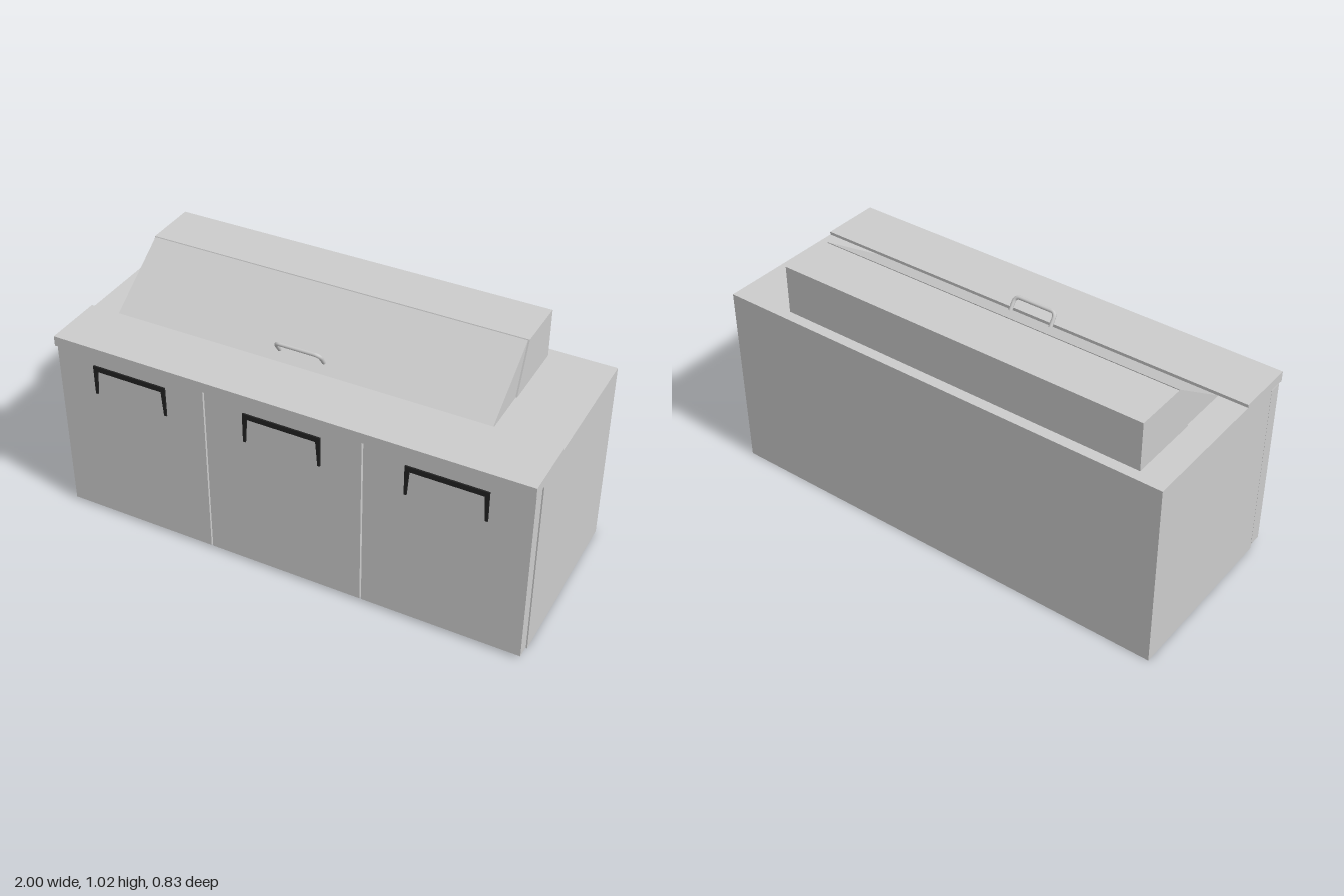
import * as THREE from 'three';

const steel = new THREE.MeshStandardMaterial({ color: 0xcccccc });
const black = new THREE.MeshStandardMaterial({ color: 0x222222 });

// Extrude a side profile of [z, y] points across x0..x1
function sideProfile(name, points, x0, x1) {
  const shape = new THREE.Shape(points.map(([z, y]) => new THREE.Vector2(-z, y)));
  const geometry = new THREE.ExtrudeGeometry(shape, { depth: x1 - x0, bevelEnabled: false });
  geometry.rotateY(Math.PI / 2).translate(x0, 0, 0);
  const mesh = new THREE.Mesh(geometry, steel);
  mesh.name = name;
  return mesh;
}

function box(name, x0, x1, y0, y1, z0, z1) {
  const mesh = new THREE.Mesh(new THREE.BoxGeometry(x1 - x0, y1 - y0, z1 - z0), steel);
  mesh.position.set((x0 + x1) / 2, (y0 + y1) / 2, (z0 + z1) / 2);
  mesh.name = name;
  return mesh;
}

// Flat bracket with two tapering legs
function doorHandle() {
  const half = [[0.163, 0.605], [0.163, 0.735]];
  const inner = [[0.145, 0.713], [0.153, 0.605]];
  const mirror = (pts) => pts.map(([x, y]) => [-x, y]).reverse();
  const outline = [...half, ...mirror(half), ...mirror(inner), ...inner];
  const shape = new THREE.Shape(outline.map(([x, y]) => new THREE.Vector2(x, y)));
  const geometry = new THREE.ExtrudeGeometry(shape, { depth: 0.008, bevelEnabled: false });
  const mesh = new THREE.Mesh(geometry, black);
  mesh.name = 'doorHandle';
  mesh.position.z = 0.402;
  return mesh;
}

// Round bar standing square to the sloping lid
function lidHandle() {
  const w = 0.095, h = 0.06, r = 0.024;
  const v = (x, y) => new THREE.Vector3(x, y, 0);
  const path = new THREE.CurvePath();
  path.add(new THREE.LineCurve3(v(-w, -0.005), v(-w, h - r)));
  path.add(new THREE.QuadraticBezierCurve3(v(-w, h - r), v(-w, h), v(r - w, h)));
  path.add(new THREE.LineCurve3(v(r - w, h), v(w - r, h)));
  path.add(new THREE.QuadraticBezierCurve3(v(w - r, h), v(w, h), v(w, h - r)));
  path.add(new THREE.LineCurve3(v(w, h - r), v(w, -0.005)));
  const mesh = new THREE.Mesh(new THREE.TubeGeometry(path, 80, 0.008, 12), steel);
  mesh.name = 'lidHandle';
  mesh.position.set(-0.072, 0.843, 0.112);
  mesh.rotation.x = Math.atan2(0.3, 0.205) - Math.PI / 2 + 2 * Math.atan2(0.205, 0.3);
  return mesh;
}

export function createModel() {
  const group = new THREE.Group();
  group.name = 'prepCounter';

  // Cabinet and front work board
  group.add(box('cabinet', -1, 1, 0, 0.81, -0.415, 0.34));
  group.add(box('workBoard', -1, 1, 0.78, 0.823, 0.16, 0.415));

  // Three doors with handles
  for (let i = -1; i <= 1; i++) {
    const door = new THREE.Group();
    door.name = 'door';
    door.position.x = i * 0.667;
    door.add(box('doorPanel', -0.33, 0.33, 0.013, 0.772, 0.348, 0.403), doorHandle());
    group.add(door);
  }

  // Rear hood and hinged wedge lid, parted by a thin slanting gap
  group.add(sideProfile('hood',
    [[-0.059, 0.81], [-0.143, 1.016], [-0.37, 1.016], [-0.37, 0.81]], -0.882, 0.734));
  group.add(sideProfile('lid',
    [[0.16, 0.81], [-0.138, 1.015], [-0.053, 0.81]], -0.877, 0.729));
  group.add(lidHandle());
  return group;
}
